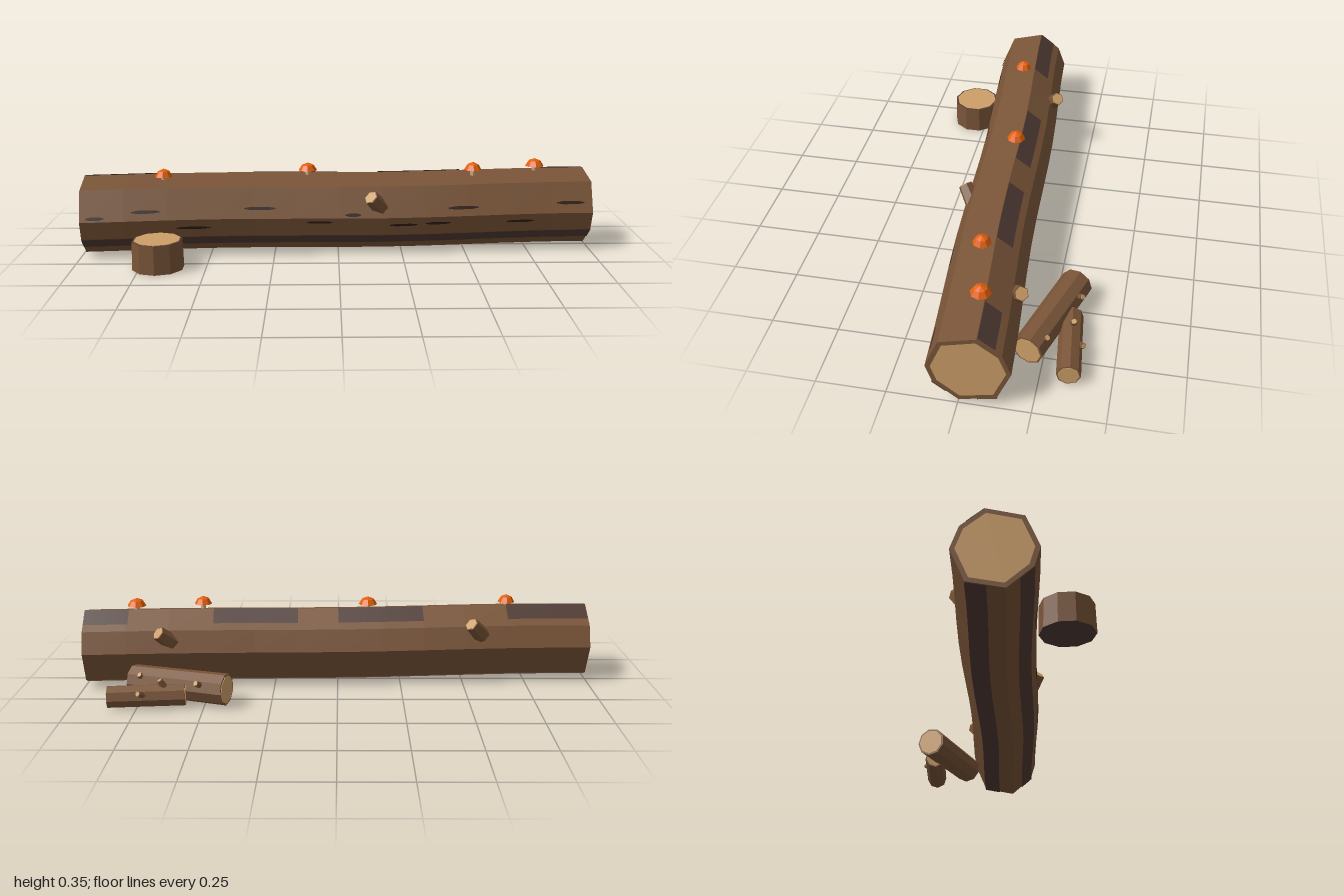
import * as THREE from 'three';

const mat = (name, color, extra = {}) => {
  const m = new THREE.MeshStandardMaterial({ color, flatShading: true, ...extra });
  m.name = name;
  return m;
};

export function createModel() {
  const bark = mat('bark', 0x7a5538);
  const wood = mat('cutWood', 0xcd9f68);
  const darkBark = mat('darkBark', 0x503b34, { side: THREE.DoubleSide });
  const crackMat = mat('barkCrack', 0x2e1e17, { side: THREE.DoubleSide });
  const orange = mat('mushroomCap', 0xe2600a);
  const stemMat = mat('mushroomStem', 0xc8a97c);

  const model = new THREE.Group();
  model.name = 'fallenLog';
  const V = (x, y, z) => new THREE.Vector3(x, y, z);
  const add = (name, geo, material, parent = model) => {
    const m = new THREE.Mesh(geo, material);
    m.name = name;
    parent.add(m);
    return m;
  };

  // Skin of quads between successive rows of points
  const loft = (rows, closed = true) => {
    const p = [];
    for (let i = 0; i < rows.length - 1; i++) {
      const a = rows[i], b = rows[i + 1], n = a.length;
      for (let j = 0; j < (closed ? n : n - 1); j++) {
        const k = (j + 1) % n;
        for (const v of [a[j], b[j], b[k], a[j], b[k], a[k]]) p.push(v.x, v.y, v.z);
      }
    }
    const g = new THREE.BufferGeometry();
    g.setAttribute('position', new THREE.Float32BufferAttribute(p, 3));
    g.computeVertexNormals();
    return g;
  };

  // Main log: uneven eight-sided section (z, y) along a slightly wavy axis
  const section = [[0.147, 0], [0.1, 0.115], [-0.028, 0.145], [-0.11, 0.08],
    [-0.14, -0.003], [-0.09, -0.122], [0.038, -0.147], [0.125, -0.072]];
  const centre = (x) => V(x, 0.155 + 0.003 * Math.cos(x * 4.5 + 2.6),
    0.018 - 0.053 * x + 0.006 * Math.sin(x * 5));
  const logPoint = (x, j, t = 0, scale = 1) => {
    const a = section[j % 8], b = section[(j + 1) % 8], c = centre(x);
    const z = (a[0] + (b[0] - a[0]) * t) * scale;
    const y = (a[1] + (b[1] - a[1]) * t) * scale;
    return V(x + z * 0.05, c.y + y, c.z + z);
  };
  const ring = (x, scale = 1) => section.map((_, j) => logPoint(x, j, 0, scale));
  const END = 0.993, rings = [ring(-END, 0.88)];
  for (let i = 0; i <= 12; i++) rings.push(ring(-END + (2 * END * i) / 12));
  rings.push(ring(END, 0.88));
  add('logBark', loft(rings), bark);
  add('logEndRight', loft([ring(-END, 0), ring(-END, 0.88)]), wood);
  add('logEndLeft', loft([ring(END, 0.88), ring(END, 0)]), wood);

  // Thin strip lying on facet j of the log; pointed ends for cracks
  const strip = (name, x0, x1, j, t, half, material, pointed) => {
    const rows = [], n = 12;
    for (let i = 0; i <= n; i++) {
      const u = i / n, x = x0 + (x1 - x0) * u;
      const h = pointed ? half * Math.min(1, 0.3 + 3 * Math.min(u, 1 - u)) : half;
      rows.push([logPoint(x, j, t - h, 1.025), logPoint(x, j, t + h, 1.025)]);
    }
    add(name, loft(rows, false), material);
  };
  // Dark bark: blocks along the upper back, long bands low on the front and underneath
  for (const [a, b] of [[-0.99, -0.67], [-0.335, 0], [0.16, 0.49], [0.82, 0.99]])
    strip('darkBarkBlock', a, b, 2, 0.36, 0.34, darkBark, false);
  strip('darkBarkFrontBand', -END, END, 6, 0.74, 0.26, darkBark, false);
  strip('darkBarkUnderBand', -END, END, 5, 0.26, 0.26, darkBark, false);

  // Cracks along the front
  for (const [a, b, y] of [[-0.8, -0.69, 0.187], [-0.37, -0.25, 0.192], [0.42, 0.54, 0.186],
    [0.85, 0.96, 0.193], [-0.97, -0.9, 0.168], [0.02, 0.08, 0.168]])
    strip('crackUpper', a, b, 0, (y - 0.155) / 0.115, 0.05, crackMat, true);
  for (const [a, b, y] of [[-0.63, -0.5, 0.122], [-0.13, -0.03, 0.14], [0.19, 0.3, 0.126],
    [0.33, 0.43, 0.13], [0.65, 0.76, 0.127]])
    strip('crackLower', a, b, 7, 1 - (0.155 - y) / 0.072, 0.07, crackMat, true);

  // Round timber from a to b, with cut wood showing inside a rim
  const timber = (name, a, b, r0, r1, sides, { bothEnds = false, rim = bark, inner = 0.88 } = {}) => {
    const g = new THREE.Group();
    g.name = name;
    const len = a.distanceTo(b);
    g.position.copy(a).add(b).multiplyScalar(0.5);
    g.quaternion.setFromUnitVectors(V(0, 1, 0), b.clone().sub(a).normalize());
    add(name + 'Bark', new THREE.CylinderGeometry(r1, r0, len, sides), [bark, rim, rim], g);
    const disc = (y, r) => {
      add(name + 'CutEnd', new THREE.CylinderGeometry(r, r, 0.004, sides), wood, g).position.y = y;
    };
    disc(len / 2, r1 * inner);
    if (bothEnds) disc(-len / 2, r0 * inner);
    model.add(g);
  };

  // Broken branch stubs on the log
  timber('frontStub', V(0.172, 0.177, 0.12), V(0.125, 0.236, 0.164), 0.034, 0.029, 6);
  timber('backStubRight', V(-0.57, 0.2, -0.065), V(-0.522, 0.256, -0.1), 0.034, 0.028, 6);
  timber('backStubLeft', V(0.635, 0.178, -0.115), V(0.69, 0.236, -0.16), 0.034, 0.028, 6);

  // Stump in front
  timber('stump', V(-0.68, 0, 0.296), V(-0.68, 0.11, 0.296), 0.098, 0.095, 10,
    { rim: darkBark, inner: 0.92 });

  // Two small logs behind, with twigs
  timber('smallLog', V(0.415, 0.064, -0.32), V(0.785, 0.064, -0.198), 0.061, 0.058, 9, { bothEnds: true });
  timber('thinLog', V(0.57, 0.046, -0.323), V(0.855, 0.046, -0.352), 0.043, 0.043, 8, { bothEnds: true });
  for (const [a, b] of [
    [V(0.73, 0.065, -0.235), V(0.75, 0.102, -0.262)],
    [V(0.71, 0.05, -0.355), V(0.735, 0.07, -0.388)],
    [V(0.64, 0.07, -0.335), V(0.66, 0.107, -0.342)],
    [V(0.5, 0.075, -0.32), V(0.525, 0.1, -0.355)],
  ]) timber('twig', a, b, 0.014, 0.011, 6);

  // Mushrooms along the top: x, z, height of cap rim, size
  const capProfile = [[0, 0], [0.034, 0], [0.022, 0.021], [0, 0.031]]
    .map(([r, y]) => new THREE.Vector2(r, y));
  for (const [x, z, y, s] of [[-0.68, 0.077, 0.302, 1], [-0.12, 0.008, 0.31, 1.08],
    [0.535, 0.01, 0.311, 1.02], [0.79, -0.04, 0.315, 1.1]]) {
    const g = new THREE.Group();
    g.name = 'mushroom';
    g.position.set(x, y, z);
    add('mushroomCap', new THREE.LatheGeometry(capProfile, 8), orange, g).scale.set(s, 1, s);
    add('mushroomStem', new THREE.CylinderGeometry(0.01, 0.012, 0.05, 6), stemMat, g).position.y = -0.023;
    model.add(g);
  }
  return model;
}
